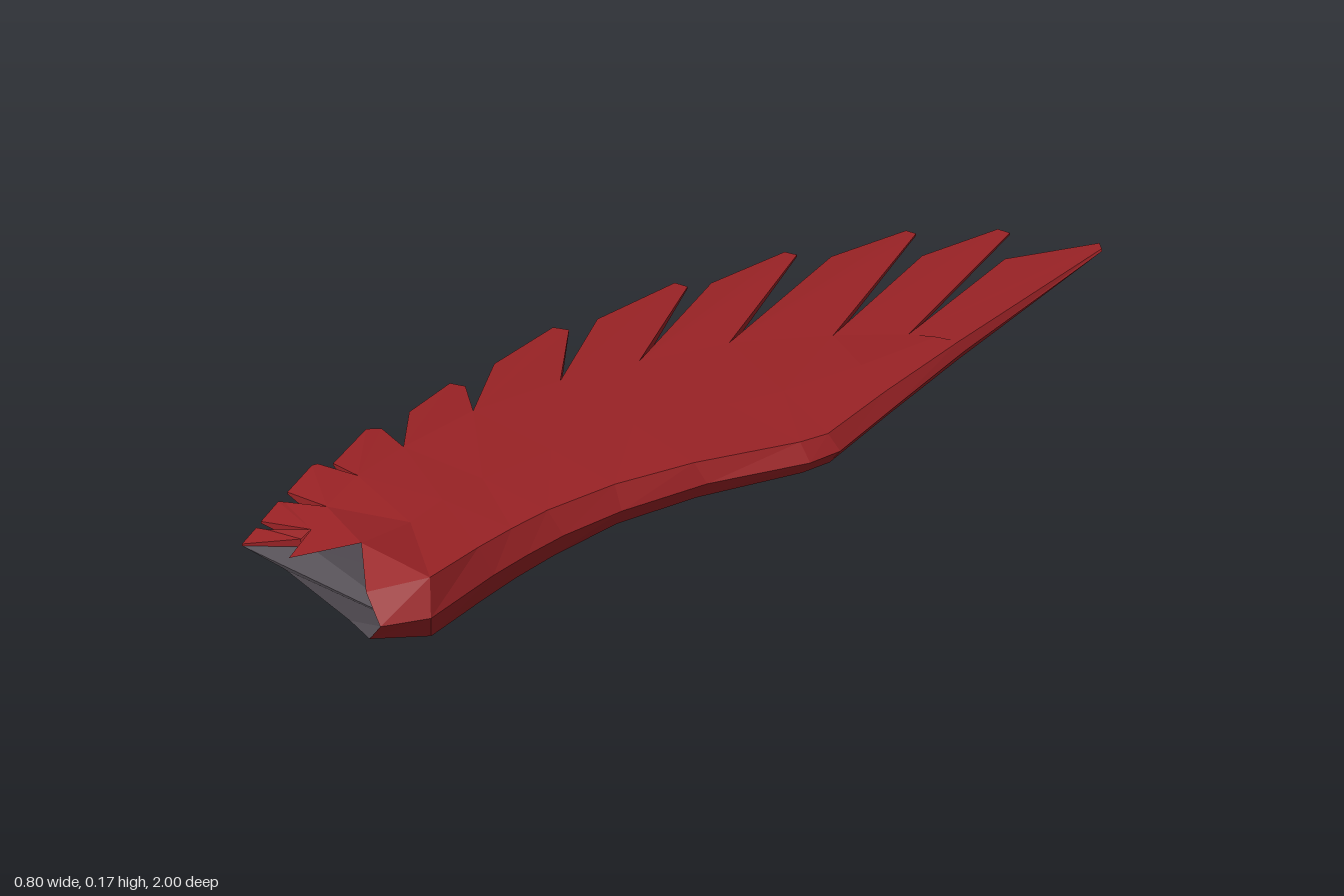
import * as THREE from 'three';

const red = new THREE.MeshStandardMaterial({ color: 0x9c2326, side: THREE.DoubleSide, flatShading: true });
red.name = 'feather red';
const dark = new THREE.MeshStandardMaterial({ color: 0x504a51, side: THREE.DoubleSide, flatShading: true });
dark.name = 'underside charcoal';

// Ribs from wing tip to root: trailing notch [x, z, top y, bottom y],
// then the leading edge: ridge, outer and lower points [x, y, z]
const ribs = [
  { n: [0.25, -0.49, 0.058, 0.05], e: [[0.357, 0.073, -0.5], [0.371, 0.057, -0.5], [0.36, 0.038, -0.5]] },
  { n: [0.14, -0.40, 0.062, 0.05], e: [[0.362, 0.084, -0.25], [0.386, 0.06, -0.25], [0.367, 0.034, -0.25]] },
  { n: [0.0, -0.26, 0.066, 0.05], e: [[0.372, 0.092, -0.05], [0.4, 0.063, -0.05], [0.376, 0.031, -0.05]] },
  { n: [-0.095, -0.1, 0.07, 0.05], e: [[0.35, 0.095, 0.01], [0.38, 0.064, 0.02], [0.355, 0.03, 0.01]] },
  { n: [-0.17, 0.05, 0.075, 0.05], e: [[0.24, 0.104, 0.2], [0.27, 0.068, 0.2], [0.245, 0.03, 0.2]] },
  { n: [-0.23, 0.25, 0.085, 0.052], e: [[0.17, 0.11, 0.36], [0.2, 0.071, 0.38], [0.175, 0.026, 0.36]] },
  { n: [-0.25, 0.45, 0.095, 0.055], e: [[0.128, 0.116, 0.52], [0.165, 0.073, 0.52], [0.14, 0.02, 0.52]] },
  { n: [-0.25, 0.6, 0.104, 0.058], e: [[0.116, 0.12, 0.62], [0.152, 0.074, 0.62], [0.126, 0.016, 0.62]] },
  { n: [-0.23, 0.73, 0.105, 0.06], e: [[0.11, 0.125, 0.72], [0.144, 0.075, 0.72], [0.12, 0.014, 0.72]] },
  { n: [-0.21, 0.81, 0.1, 0.06], e: [[0.11, 0.135, 0.88], [0.14, 0.075, 0.92], [0.12, 0.016, 0.89]] },
];
const top = ribs.map(r => [r.n[0], r.n[2], r.n[1]]);
const low = ribs.map(r => [r.n[0], r.n[3], r.n[1]]);
const edges = ribs.map(r => r.e);
const peak = [-0.04, 0.165, 0.89];
const tipEdge = [[0.35, 0.044, -0.98], [0.354, 0.042, -0.975], [0.35, 0.038, -0.98]];
const rootEdge = [[0.03, 0.122, 0.975], [0.08, 0.075, 1.0], [0.045, 0.03, 0.985]];

// Feather ends: right corner, tip, left corner
const feathers = [
  [tipEdge[0], [0.33, 0.04, -1.0], [0.205, 0.026, -0.87]],
  [[0.175, 0.044, -0.93], [0.14, 0.036, -0.94], [0.065, 0.02, -0.8]],
  [[0.03, 0.042, -0.83], [0.0, 0.034, -0.84], [-0.08, 0.013, -0.71]],
  [[-0.11, 0.04, -0.64], [-0.145, 0.03, -0.65], [-0.215, 0.006, -0.51]],
  [[-0.21, 0.04, -0.425], [-0.25, 0.028, -0.44], [-0.315, 0.004, -0.28]],
  [[-0.3, 0.04, -0.165], [-0.34, 0.03, -0.17], [-0.37, 0.012, -0.02]],
  [[-0.335, 0.044, 0.125], [-0.375, 0.034, 0.118], [-0.39, 0.02, 0.23]],
  [[-0.37, 0.048, 0.35], [-0.4, 0.04, 0.357], [-0.39, 0.027, 0.48]],
  [[-0.39, 0.05, 0.53], [-0.4, 0.046, 0.535], [-0.39, 0.036, 0.63]],
  [[-0.355, 0.055, 0.69], [-0.368, 0.052, 0.692], [-0.36, 0.044, 0.76]],
  [[-0.32, 0.058, 0.798], [-0.343, 0.055, 0.8], [-0.335, 0.05, 0.858]],
];

// One mesh from flat polygons, each split as a fan
function faces(name, material, polygons) {
  const pos = [];
  for (const p of polygons)
    for (let i = 1; i < p.length - 1; i++) pos.push(...p[0], ...p[i], ...p[i + 1]);
  const g = new THREE.BufferGeometry();
  g.setAttribute('position', new THREE.Float32BufferAttribute(pos, 3));
  g.computeVertexNormals();
  const mesh = new THREE.Mesh(g, material);
  mesh.name = name;
  return mesh;
}

// Quads between neighbouring rows of points
function loft(rows) {
  const out = [];
  for (let i = 0; i + 1 < rows.length; i++)
    for (let k = 0; k + 1 < rows[i].length; k++) {
      const [a, b, c, d] = [rows[i][k], rows[i + 1][k], rows[i + 1][k + 1], rows[i][k + 1]];
      out.push([a, b, c], [a, c, d]);
    }
  return out;
}

export function createModel() {
  const wing = new THREE.Group();
  wing.name = 'wing';
  const last = ribs.length - 1;

  // Upper skin, bulging towards the root peak
  const rows = top.map((t, i) => {
    const r = edges[i][0];
    const mid = t.map((v, k) => v + (r[k] - v) * 0.55);
    mid[1] += 0.003 + 0.015 * Math.max(0, (i - 5) / 4);
    return [t, i === last ? peak : mid, r];
  });
  wing.add(faces('upperSkin', red, [
    ...loft(rows),
    [top[last], [-0.195, 0.088, 0.905], peak],
    [peak, rootEdge[0], edges[last][0]],
  ]));

  // Bevelled leading edge, wrapping around the shoulder
  const rim = [tipEdge, ...edges, rootEdge];
  wing.add(faces('leadingEdge', red, loft(rim)));

  // Underside with its exposed lip at the root
  const under = low.map((p, i) => [edges[i][2], p]);
  const rootTip = feathers[10][2].map((v, k) => (k === 1 ? v - 0.004 : v));
  wing.add(faces('underside', dark, [
    ...loft(under),
    [edges[last][2], rootEdge[2], [0, 0.055, 0.985], [-0.2, 0.064, 0.91], rootTip, low[last]],
  ]));

  // Feathers: red top, dark bottom, thin red rim
  feathers.forEach((ends, i) => {
    const rootTop = [-0.23, 0.075, 0.815], rootLow = [-0.23, 0.058, 0.815];
    const a = i ? top[i - 1] : edges[0][0], b = i > last ? rootTop : top[i];
    const la = i ? low[i - 1] : edges[0][2], lb = i > last ? rootLow : low[i];
    const upper = [b, a, ...ends];
    const lower = [lb, la, ...ends.map(([x, y, z]) => [x, y - 0.004, z])];
    const sides = [];
    for (let k = i ? 1 : 2; k < upper.length; k++) {
      const n = (k + 1) % upper.length;
      sides.push([upper[k], lower[k], lower[n], upper[n]]);
    }
    const feather = new THREE.Group();
    feather.name = 'feather' + (i + 1);
    feather.add(
      faces('featherTop', red, [upper]),
      faces('featherBottom', dark, [lower.slice().reverse()]),
      faces('featherRim', red, sides));
    wing.add(feather);
  });
  return wing;
}
